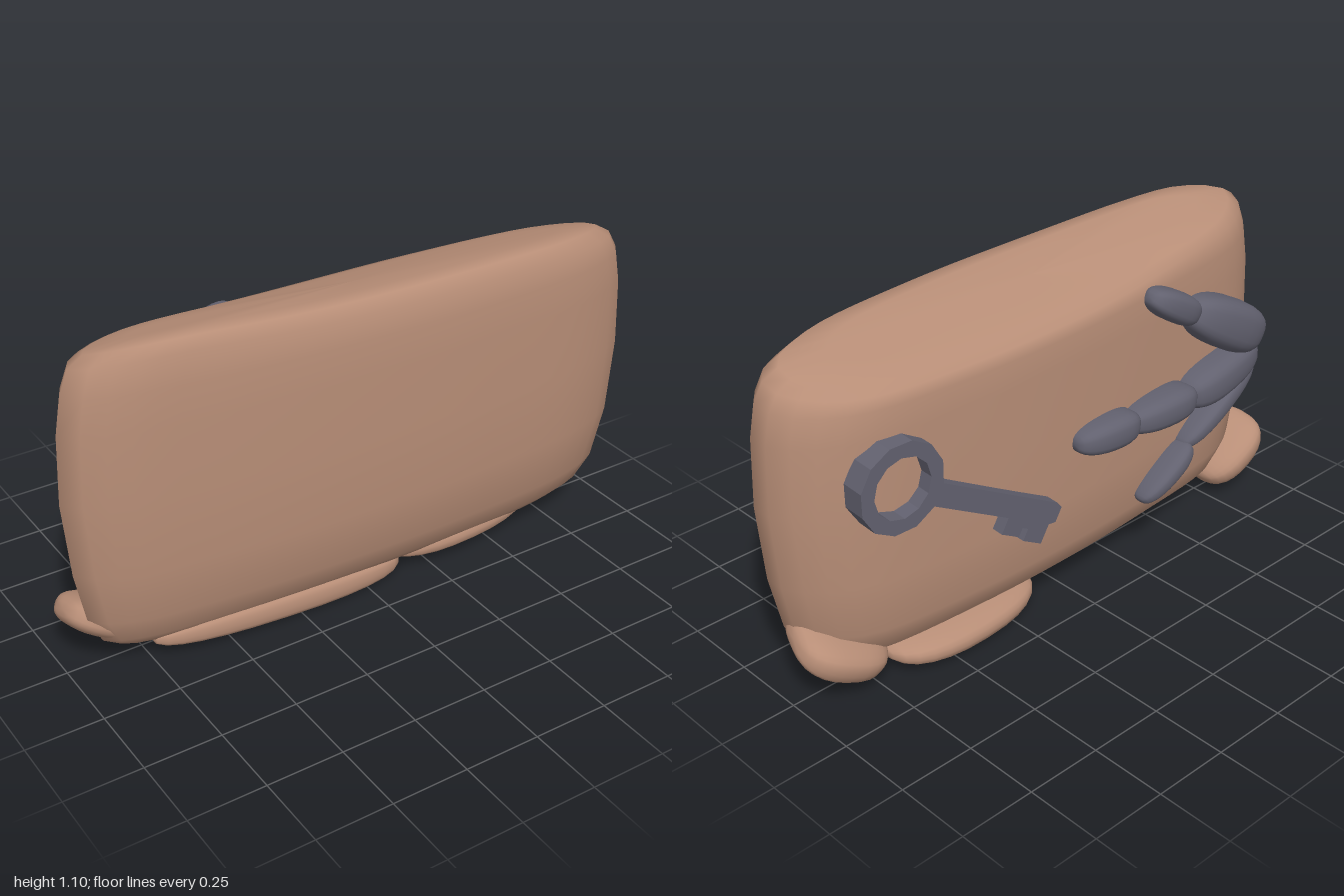
import * as THREE from 'three';
import { mergeVertices } from 'three/addons/utils/BufferGeometryUtils.js';

const clay = new THREE.MeshStandardMaterial({ color: 0xb88e77 });
const iron = new THREE.MeshStandardMaterial({ color: 0x62616f });
const V = (a) => new THREE.Vector3(...a);

// Blunt lump between two end points: w across, d deep, taper swells the far end
function lump(name, material, from, to, w, d, taper = 0, outward = [0, 0, 1]) {
  const a = V(from), b = V(to);
  let geo = new THREE.SphereGeometry(1, 24, 14).rotateZ(Math.PI / 2);
  geo.deleteAttribute('uv');
  geo.deleteAttribute('normal');
  geo = mergeVertices(geo, 1e-4);
  const p = geo.attributes.position;
  const blunt = (v, e) => Math.sign(v) * Math.abs(v) ** e;
  for (let i = 0; i < p.count; i++) {
    const x = blunt(p.getX(i), 0.85), k = 1 + taper * x;
    p.setXYZ(i, x * a.distanceTo(b) / 2, blunt(p.getY(i), 0.7) * w / 2 * k, blunt(p.getZ(i), 0.7) * d / 2 * k);
  }
  geo.computeVertexNormals();
  const X = b.clone().sub(a).normalize();
  const Y = V(outward).cross(X).normalize();
  const Z = X.clone().cross(Y);
  const mesh = new THREE.Mesh(geo, material);
  mesh.name = name;
  mesh.quaternion.setFromRotationMatrix(new THREE.Matrix4().makeBasis(X, Y, Z));
  mesh.position.copy(a.add(b).multiplyScalar(0.5));
  return mesh;
}

// Pillow-like slab: lens outline stacked through several heights
function slab() {
  const outline = new THREE.CatmullRomCurve3([
    [-1, 0.07], [-0.87, 0.16], [-0.6, 0.21], [-0.15, 0.25], [0.4, 0.255], [0.82, 0.215], [0.99, 0.13], [1, 0.03],
    [0.93, -0.06], [0.8, -0.13], [0.4, -0.175], [0, -0.18], [-0.4, -0.155], [-0.8, -0.1], [-0.95, -0.01],
  ].map(([x, z]) => V([x, 0, z])), true, 'centripetal');
  const n = 60, ring = outline.getSpacedPoints(n).slice(0, n);
  // height, width scale, front depth scale, back depth scale, slope of the top towards the back
  const levels = [
    [0.085, 0, 0, 0, 0], [0.09, 0.84, 0.45, 0.55, 0], [0.13, 0.9, 0.62, 0.76, 0], [0.22, 0.945, 0.84, 0.95, 0],
    [0.4, 0.98, 0.98, 1, 0], [0.65, 1, 1, 1, 0], [0.87, 0.99, 1, 1, 0], [0.97, 0.97, 0.99, 0.99, 0.06],
    [1.027, 0.94, 0.93, 0.94, 0.16], [1.053, 0.89, 0.8, 0.77, 0.25], [1.065, 0.74, 0.55, 0.5, 0.28], [1.067, 0, 0, 0, 0.28],
  ];
  const pos = [], index = [];
  levels.forEach(([y, sx, front, back, slope], j) => ring.forEach((p, i) => {
    const x = p.x * sx, dz = p.z - 0.04, z = dz * (dz > 0 ? front : back);
    // the top edge swells gently towards the right
    const rise = Math.min(1, slope / 0.16) * (0.025 * Math.exp(-(((x + 0.72) / 0.4) ** 2)) - 0.012 * x);
    pos.push(x, y + slope * z + rise, z + 0.04);
    if (j === levels.length - 1) return;
    const a = j * n + i, b = j * n + (i + 1) % n;
    index.push(a, b, b + n, a, b + n, a + n);
  }));
  const geo = new THREE.BufferGeometry();
  geo.setAttribute('position', new THREE.Float32BufferAttribute(pos, 3));
  geo.setIndex(index);
  geo.computeVertexNormals();
  const mesh = new THREE.Mesh(geo, clay);
  mesh.name = 'slab';
  return mesh;
}

// Key drawn along local +x: faceted bow, shaft and notched bit in one outline
function key() {
  const s = new THREE.Shape();
  const half = 0.036, R = 0.145, sides = 12, gap = Math.asin(half / R);
  for (let i = 0; i < sides; i++) {
    const t = gap + (i / (sides - 1)) * (2 * Math.PI - 2 * gap);
    s[i ? 'lineTo' : 'moveTo'](R * Math.cos(t), R * Math.sin(t));
  }
  [[0.45, -half], [0.45, -0.09], [0.525, -0.09], [0.525, -0.06], [0.55, -0.06], [0.55, -0.1],
    [0.63, -0.1], [0.63, -half], [0.655, -0.025], [0.655, 0.025], [0.63, half]].forEach(([x, y]) => s.lineTo(x, y));
  const hole = new THREE.Path();
  for (let i = 0; i < sides; i++) {
    const t = -(i / sides) * 2 * Math.PI;
    hole[i ? 'lineTo' : 'moveTo'](0.098 * Math.cos(t), 0.098 * Math.sin(t));
  }
  s.holes.push(hole);
  const geo = new THREE.ExtrudeGeometry(s, { depth: 0.08, bevelEnabled: false });
  // Flip the outline so the bit points down once the shaft runs towards -x
  geo.rotateX(Math.PI).rotateZ(Math.PI + 0.515).rotateY(-0.049);
  const mesh = new THREE.Mesh(geo, iron);
  mesh.name = 'key';
  mesh.position.set(0.71, 0.727, -0.122);
  return mesh;
}

// Three-fingered claw resting on the back
function claw() {
  const g = new THREE.Group();
  g.name = 'claw';
  [
    ['upperFingerTip', [-0.285, 0.975, -0.18], [-0.5, 0.845, -0.165], 0.1, 0.13, 0.1],
    ['upperFingerBase', [-0.48, 0.86, -0.16], [-0.83, 0.66, -0.15], 0.17, 0.18, 0.1],
    ['middleFingerTip', [0.04, 0.59, -0.19], [-0.22, 0.58, -0.19], 0.11, 0.135, 0.1],
    ['middleFingerJoint', [-0.18, 0.575, -0.185], [-0.495, 0.565, -0.175], 0.115, 0.15, 0.1],
    ['middleFingerBase', [-0.465, 0.555, -0.165], [-0.86, 0.59, -0.12], 0.14, 0.17, -0.1],
    ['lowerFingerTip', [-0.27, 0.25, -0.18], [-0.5, 0.375, -0.17], 0.07, 0.12, 0.1],
    ['lowerFingerBase', [-0.47, 0.37, -0.165], [-0.84, 0.56, -0.12], 0.08, 0.14, 0.1],
  ].forEach(([name, ...r]) => g.add(lump(name, iron, ...r)));
  return g;
}

export function createModel() {
  const group = new THREE.Group();
  group.add(slab(), key(), claw());
  // Lumps that the slab rests on
  group.add(
    lump('leftCornerFoot', clay, [0.69, 0.095, -0.02], [0.97, 0.23, 0.015], 0.13, 0.28, 0, [0, 0.5, 1]),
    lump('rightCornerFoot', clay, [-0.73, 0.085, -0.02], [-0.985, 0.23, -0.025], 0.12, 0.24, 0, [0, 0.3, 1]),
    lump('longFoot', clay, [-0.75, 0.085, 0.07], [0.14, 0.06, 0.085], 0.11, 0.17, 0.1),
    lump('shortFoot', clay, [0.1, 0.07, 0.01], [0.7, 0.08, -0.03], 0.1, 0.34, 0, [0, 0.12, 1]),
  );
  return group;
}
